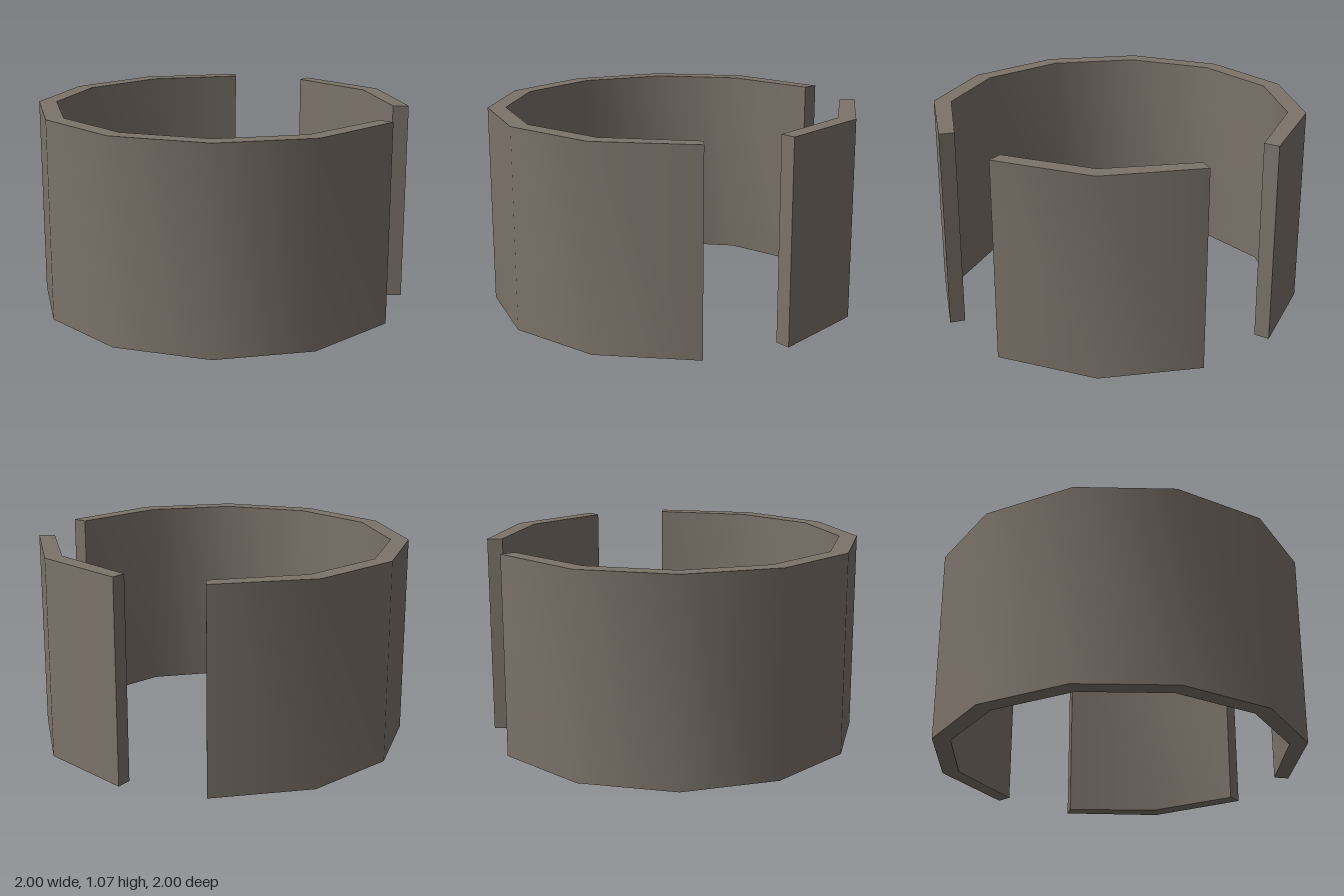
import * as THREE from 'three';
import { toCreasedNormals } from 'three/addons/utils/BufferGeometryUtils.js';

const HEIGHT = 1.07;

// Upright wall between an outer and an inner floor outline, points as [x, z]
function wall(name, outer, inner, material) {
  const outline = [...outer, ...[...inner].reverse()];
  const shape = new THREE.Shape(outline.map(([x, z]) => new THREE.Vector2(x, z)));
  const geometry = new THREE.ExtrudeGeometry(shape, { depth: HEIGHT, bevelEnabled: false });
  geometry.rotateX(Math.PI / 2).translate(0, HEIGHT, 0);
  // Bends of the wall stay smooth, its rims and ends stay sharp
  const mesh = new THREE.Mesh(toCreasedNormals(geometry, 0.8), material);
  mesh.name = name;
  return mesh;
}

// Corners of a twelve-sided ring, from step a to step b
function ringPoints(radius, a, b) {
  const points = [];
  for (let i = a; i <= b; i++) {
    const angle = (i * Math.PI) / 6;
    points.push([Math.cos(angle) * radius, Math.sin(angle) * radius - 0.003]);
  }
  return points;
}

export function createModel() {
  const group = new THREE.Group();
  group.name = 'brokenRingWall';
  const stone = new THREE.MeshStandardMaterial({ color: 0x7c736a });
  stone.name = 'grey brown stone';

  // Long wall, open at the left and back
  group.add(wall('longWall',
    [[0.876, 0.467], ...ringPoints(1, 2, 8), [0.03, -1]],
    [[0.81, 0.42], ...ringPoints(0.904, 2, 8), [0.035, -0.917]],
    stone));

  // Short wall piece standing in the gap
  group.add(wall('shortWall',
    [[0.475, -0.88], [0.867, -0.51], [0.997, 0.023]],
    [[0.43, -0.812], [0.787, -0.458], [0.913, 0.03]],
    stone));

  return group;
}
